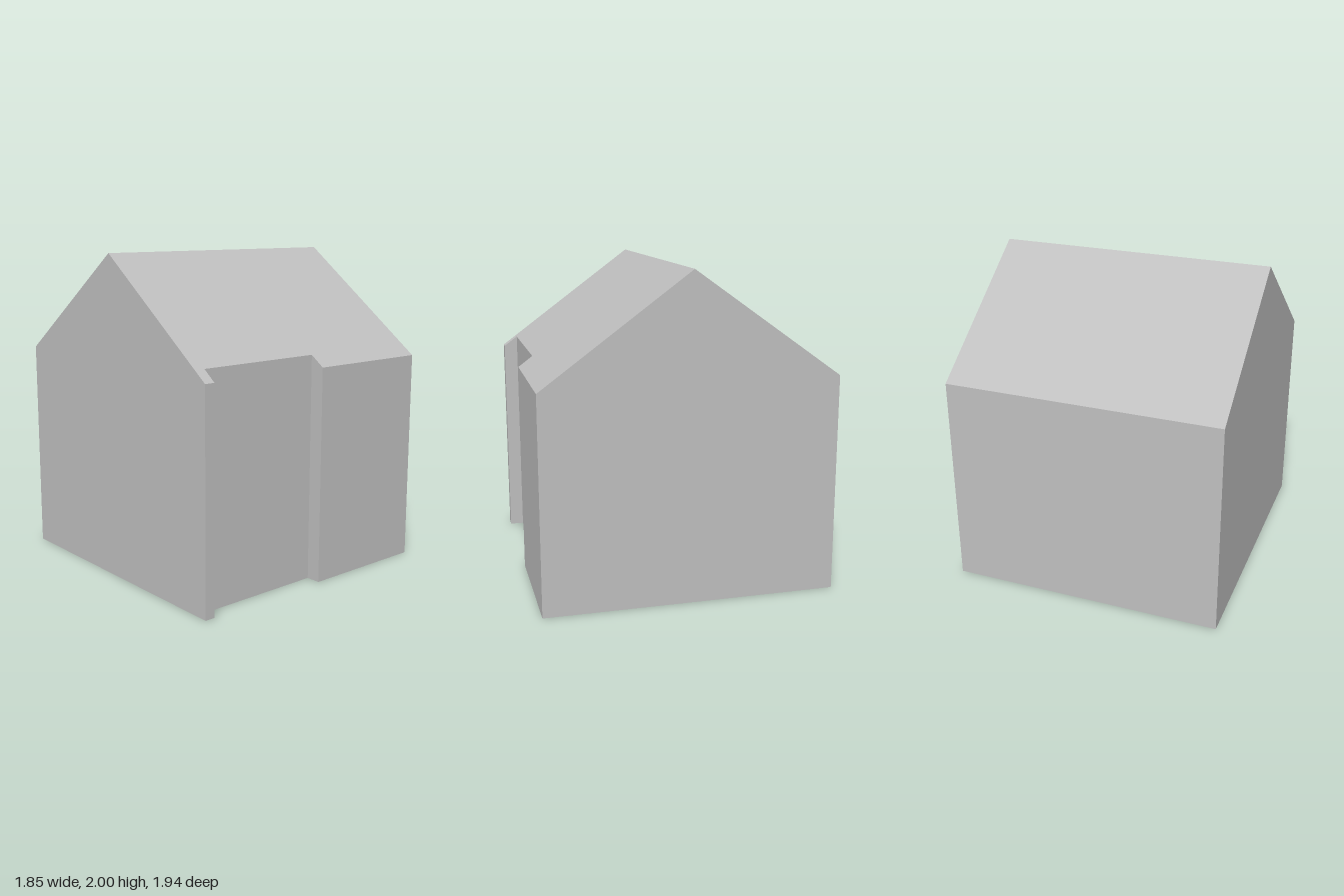
import * as THREE from 'three';

// Footprint [x, z], counter-clockwise from above; both halves meet under the ridge
const ridgeL = [-0.86, 0.07], ridgeR = [0.86, -0.065];
const front = [ridgeL, [-0.795, 0.967], [-0.73, 0.962], [-0.735, 0.875],
  [0.09, 0.81], [0.098, 0.9], [0.922, 0.838], ridgeR];
const back = [ridgeR, [0.795, -0.97], [-0.925, -0.835], ridgeL];

// Roof height falls away from the ridge line on either side
function roofHeight([x, z]) {
  const dx = ridgeR[0] - ridgeL[0], dz = ridgeR[1] - ridgeL[1];
  const d = ((z - ridgeL[1]) * dx - (x - ridgeL[0]) * dz) / Math.hypot(dx, dz);
  return 2 - (d > 0 ? 0.735 : 0.713) * Math.abs(d);
}
const top = (p) => [p[0], roofHeight(p), p[1]];
const base = (p) => [p[0], 0, p[1]];

function meshFrom(name, corners, material) {
  const geometry = new THREE.BufferGeometry();
  geometry.setAttribute('position', new THREE.Float32BufferAttribute(corners.flat(), 3));
  geometry.computeVertexNormals();
  const mesh = new THREE.Mesh(geometry, material);
  mesh.name = name;
  return mesh;
}

function walls(outline) {
  const corners = [];
  for (let i = 0; i < outline.length - 1; i++) {
    const a = outline[i], b = outline[i + 1];
    corners.push(base(a), base(b), top(b), base(a), top(b), top(a));
  }
  return corners;
}

// Fill an outline, lifted onto the roof or laid flat and facing down
function fill(outline, isRoof) {
  const points = outline.map(([x, z]) => new THREE.Vector2(x, -z));
  return THREE.ShapeUtils.triangulateShape(points, []).flatMap((face) =>
    isRoof ? face.map((i) => top(outline[i])) : [...face].reverse().map((i) => base(outline[i])));
}

export function createModel() {
  const house = new THREE.Group();
  house.name = 'house';
  const grey = new THREE.MeshStandardMaterial({ color: 0xbfbfbf });
  grey.name = 'plain grey';

  for (const [side, outline] of [['front', front], ['back', back]]) {
    house.add(
      meshFrom(`${side}Walls`, walls(outline), grey),
      meshFrom(`${side}Roof`, fill(outline, true), grey),
      meshFrom(`${side}Floor`, fill(outline, false), grey));
  }
  return house;
}
